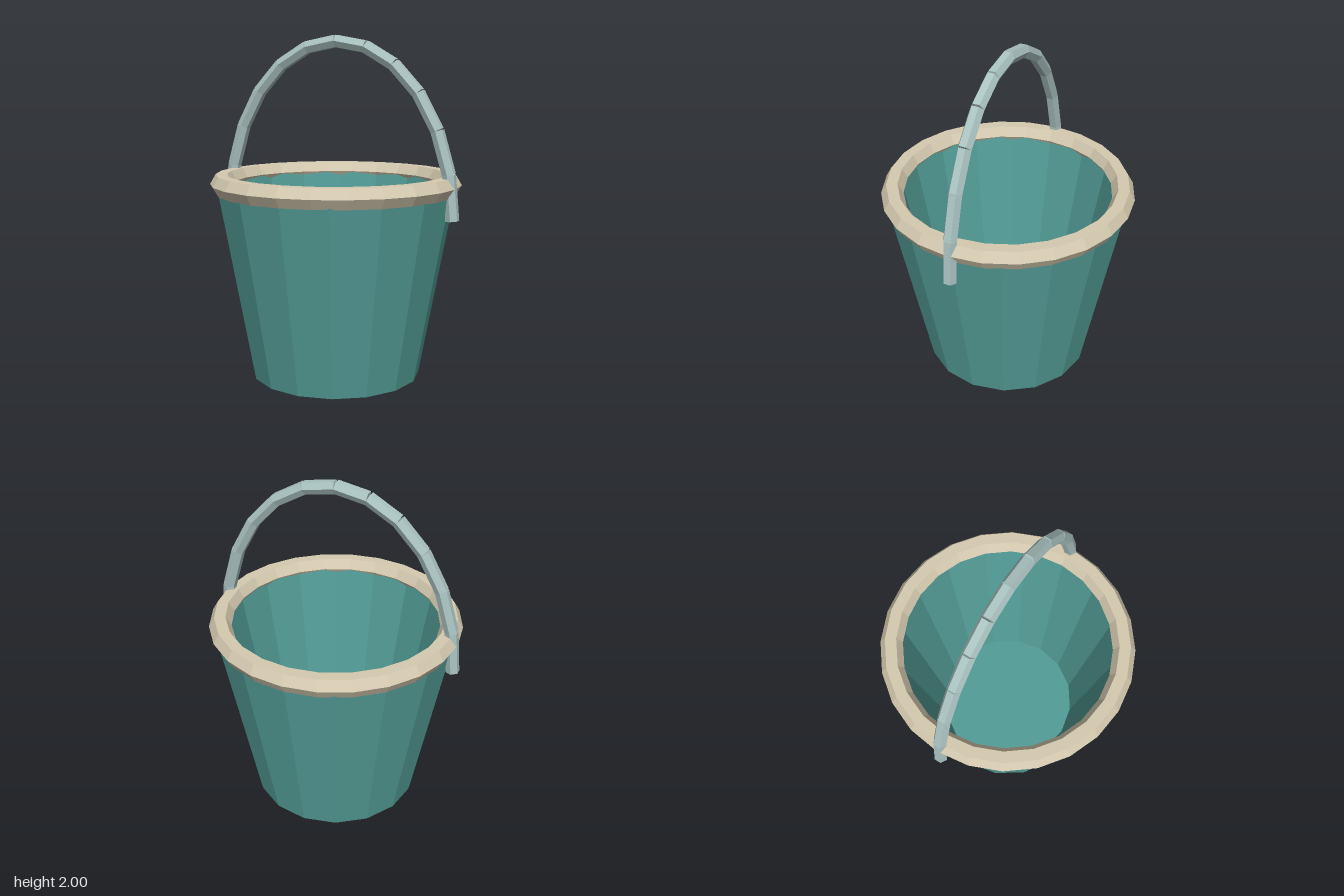
import * as THREE from 'three';

const material = (name, color, extra = {}) =>
  Object.assign(new THREE.MeshStandardMaterial({ color, flatShading: true, ...extra }), { name });

export function createModel() {
  const teal = material('teal', 0x539d97, { side: THREE.DoubleSide });
  const cream = material('cream', 0xd5cab0);
  const paleSteel = material('paleSteel', 0xaac3c1);

  const bucket = new THREE.Group();
  bucket.name = 'bucket';
  const add = (parent, name, geometry, mat, y = 0) => {
    const mesh = new THREE.Mesh(geometry, mat);
    mesh.name = name;
    mesh.position.y = y;
    parent.add(mesh);
    return mesh;
  };

  // Open tapered walls, sixteen sides, with their top edges inside the rim
  const top = 1.145, floorY = 0.11;
  const wall = (name, rTop, rBottom, y0) =>
    add(bucket, name, new THREE.CylinderGeometry(rTop, rBottom, top - y0, 16, 1, true), teal, (top + y0) / 2);
  wall('outerWall', 0.711, 0.5, 0);
  wall('innerWall', 0.62, 0.43, floorY);

  // Raised floor
  add(bucket, 'floor', new THREE.CircleGeometry(0.43, 16).rotateX(-Math.PI / 2), teal, floorY);

  // Six-sided ring around the top
  add(bucket, 'rim', new THREE.TorusGeometry(0.67, 0.065, 6, 24).rotateX(-Math.PI / 2), cream, top);

  // Arched handle of twelve straight hexagonal bars
  const handle = new THREE.Group();
  handle.name = 'handle';
  bucket.add(handle);
  const arc = (i) => {
    const a = (i / 12) * Math.PI;
    return new THREE.Vector2(0.717 * Math.cos(a), 0.965 + Math.sin(a));
  };
  for (let i = 0; i < 12; i++) {
    const a = arc(i), b = arc(i + 1), d = b.clone().sub(a);
    const bar = add(handle, 'handleBar', new THREE.CylinderGeometry(0.04, 0.04, d.length(), 6), paleSteel);
    bar.position.set((a.x + b.x) / 2, (a.y + b.y) / 2, 0);
    bar.rotation.z = Math.atan2(-d.x, d.y);
  }

  return bucket;
}
